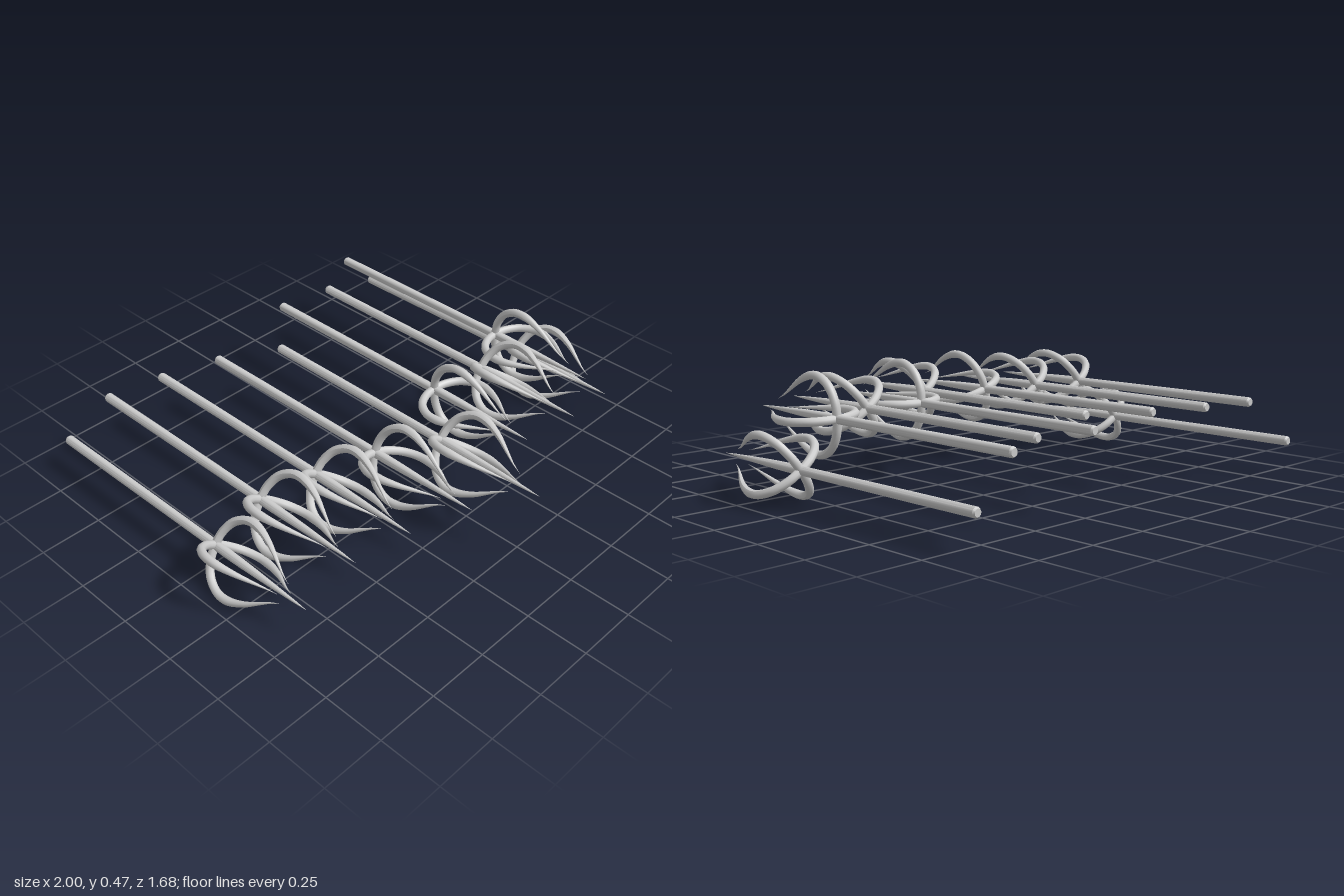
import * as THREE from 'three';
import { toCreasedNormals } from 'three/addons/utils/BufferGeometryUtils.js';

// Shaft and long pointed tip as one turned piece, running along +z with the hub at z = 0
function shaftGeometry() {
  const profile = [
    [0, -0.89], [0.014, -0.89], [0.019, -0.883], [0.019, -0.6], [0.0175, 0],
    [0.018, 0.06], [0.0165, 0.14], [0.0135, 0.23], [0.009, 0.33], [0.0045, 0.42], [0, 0.475],
  ].map(([r, z]) => new THREE.Vector2(r, z));
  const g = new THREE.LatheGeometry(profile, 16);
  g.rotateX(Math.PI / 2);
  return toCreasedNormals(g, 0.6);
}

// Curved prong: a tube sweeping out from the hub and in again, thinning to a point
function prongGeometry() {
  const curve = new THREE.CatmullRomCurve3([
    [0, 0], [0.055, 0.008], [0.112, 0.04], [0.145, 0.095], [0.146, 0.15],
    [0.12, 0.22], [0.08, 0.285], [0.055, 0.325], [0.038, 0.362],
  ].map(([r, z]) => new THREE.Vector3(r, 0, z)));
  const steps = 36, sides = 10, radius = 0.0165;
  const g = new THREE.TubeGeometry(curve, steps, radius, sides);
  const pos = g.attributes.position, v = new THREE.Vector3();
  for (let i = 0; i <= steps; i++) {
    const t = i / steps, centre = curve.getPointAt(t);
    const scale = t < 0.5 ? 1 : Math.max(0.02, 1 - (t - 0.5) / 0.5);
    for (let j = 0; j <= sides; j++) {
      const k = i * (sides + 1) + j;
      v.fromBufferAttribute(pos, k).sub(centre).multiplyScalar(scale).add(centre);
      pos.setXYZ(k, v.x, v.y, v.z);
    }
  }
  g.computeVertexNormals();
  return g;
}

export function createModel() {
  const model = new THREE.Group();
  model.name = 'spearArray';
  const material = new THREE.MeshStandardMaterial({ color: 0xcccccc });
  const shaftGeo = shaftGeometry(), prongGeo = prongGeometry();

  // Each spear: x, y, z of hub, roll in degrees, slight yaw
  const spears = [
    [-0.865, 0.14, 0.047, -35, 0.008],
    [-0.707, 0.305, 0.125, -35, 0.006],
    [-0.474, 0.305, 0.165, -35, 0.008],
    [-0.235, 0.305, 0.235, -18, 0.008],
    [-0.008, 0.305, 0.36, -35, 0],
    [0.22, 0.305, 0.125, 0, 0],
    [0.46, 0.305, 0.165, -36, 0],
    [0.695, 0.305, 0.047, -2, 0],
    [0.86, 0.14, 0.047, -35, 0.008],
  ];
  spears.forEach(([x, y, z, roll, yaw], i) => {
    const spear = new THREE.Group();
    spear.name = `spear${i + 1}`;
    spear.position.set(x, y, z);
    spear.rotation.set(0, yaw, THREE.MathUtils.degToRad(roll));
    const shaft = new THREE.Mesh(shaftGeo, material);
    shaft.name = 'shaft';
    spear.add(shaft);
    // Four prongs around the shaft
    for (let k = 0; k < 4; k++) {
      const prong = new THREE.Mesh(prongGeo, material);
      prong.name = `prong${k + 1}`;
      prong.rotation.z = k * Math.PI / 2;
      spear.add(prong);
    }
    model.add(spear);
  });
  return model;
}
